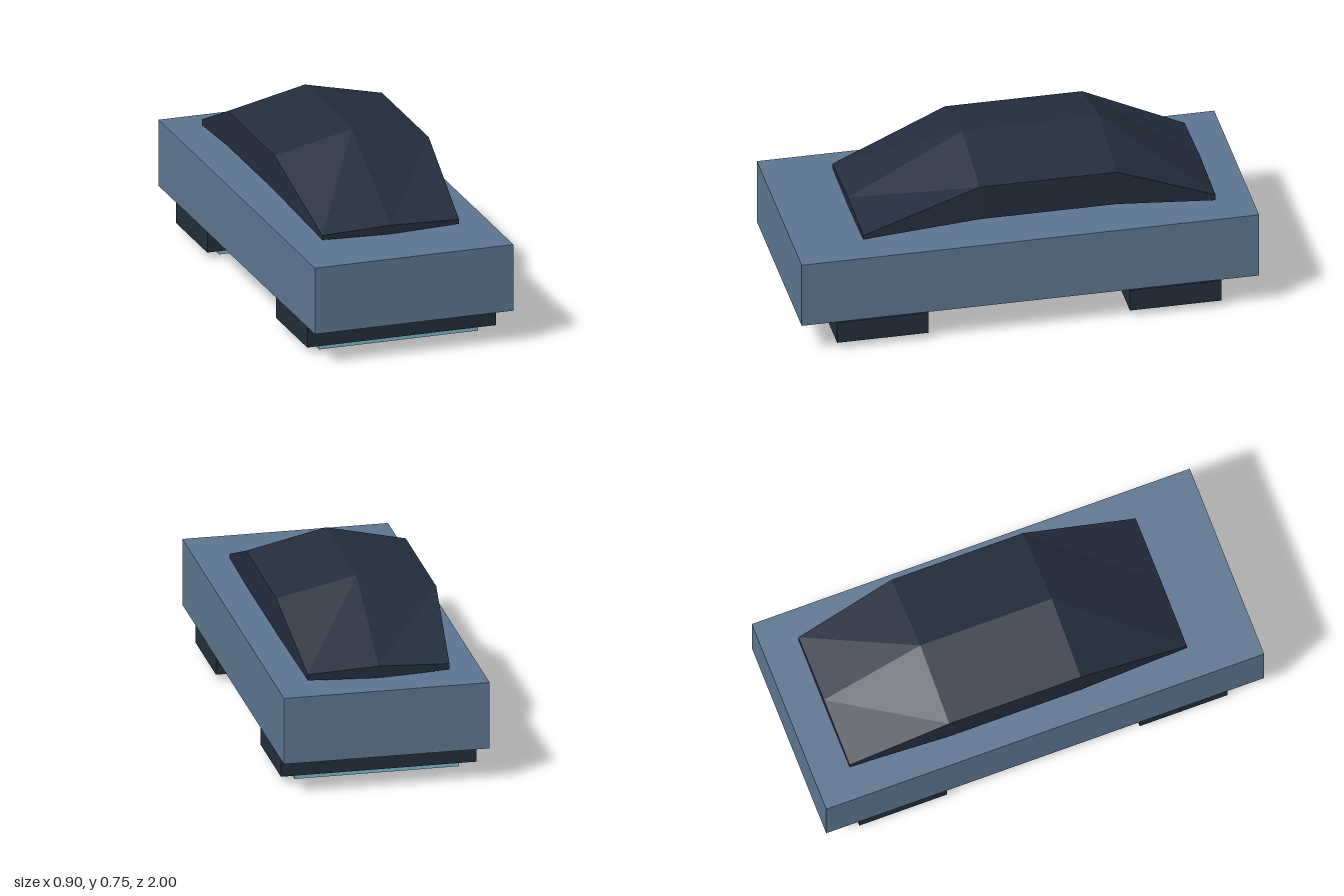
import * as THREE from 'three';

const material = (name, color) => {
  const m = new THREE.MeshStandardMaterial({ color });
  m.name = name;
  return m;
};

// Loft of flattened hexagon sections along z, capped at both ends
function hexLoft(sections) {
  const rings = sections.map(({ z, y, rx, ry }) =>
    Array.from({ length: 6 }, (_, i) => {
      const a = (i * Math.PI) / 3;
      return [rx * Math.sin(a), y + ry * Math.cos(a), z];
    }));
  const pos = [];
  const tri = (a, b, c) => pos.push(...a, ...b, ...c);
  for (let s = 0; s < rings.length - 1; s++) {
    const f = rings[s], b = rings[s + 1];
    for (let i = 0; i < 6; i++) {
      const j = (i + 1) % 6;
      tri(f[i], f[j], b[j]);
      tri(f[i], b[j], b[i]);
    }
  }
  const first = rings[0], last = rings[rings.length - 1];
  for (let i = 1; i < 5; i++) {
    tri(first[0], first[i + 1], first[i]);
    tri(last[0], last[i], last[i + 1]);
  }
  const g = new THREE.BufferGeometry();
  g.setAttribute('position', new THREE.Float32BufferAttribute(pos, 3));
  g.computeVertexNormals();
  return g;
}

export function createModel() {
  const group = new THREE.Group();
  const bodyBlue = material('bodyBlue', 0x5c7690);
  const darkGlass = material('darkGlass', 0x232d3d);
  const darkPod = material('darkPod', 0x222e3b);
  const glowCyan = material('glowCyan', 0x7ab6ca);

  const add = (name, geometry, mat, y = 0, z = 0) => {
    const mesh = new THREE.Mesh(geometry, mat);
    mesh.name = name;
    mesh.position.set(0, y, z);
    group.add(mesh);
  };

  // Slab body
  add('body', new THREE.BoxGeometry(0.9, 0.3, 2), bodyBlue, 0.297);

  // Faceted canopy, front to back
  add('canopy', hexLoft([
    { z: 0.7, y: 0.467, rx: 0.358, ry: 0.02 },
    { z: 0.2, y: 0.597, rx: 0.404, ry: 0.158 },
    { z: -0.4, y: 0.597, rx: 0.404, ry: 0.158 },
    { z: -0.84, y: 0.473, rx: 0.358, ry: 0.027 },
  ]), darkGlass);

  // Hover pods with glowing plates beneath, front and rear
  for (const [name, z] of [['front', 0.64], ['rear', -0.64]]) {
    add(name + 'HoverPod', new THREE.BoxGeometry(0.855, 0.1, 0.4), darkPod, 0.08, z);
    add(name + 'GlowPlate', new THREE.BoxGeometry(0.72, 0.025, 0.32), glowCyan, 0.0125, z);
  }
  return group;
}
